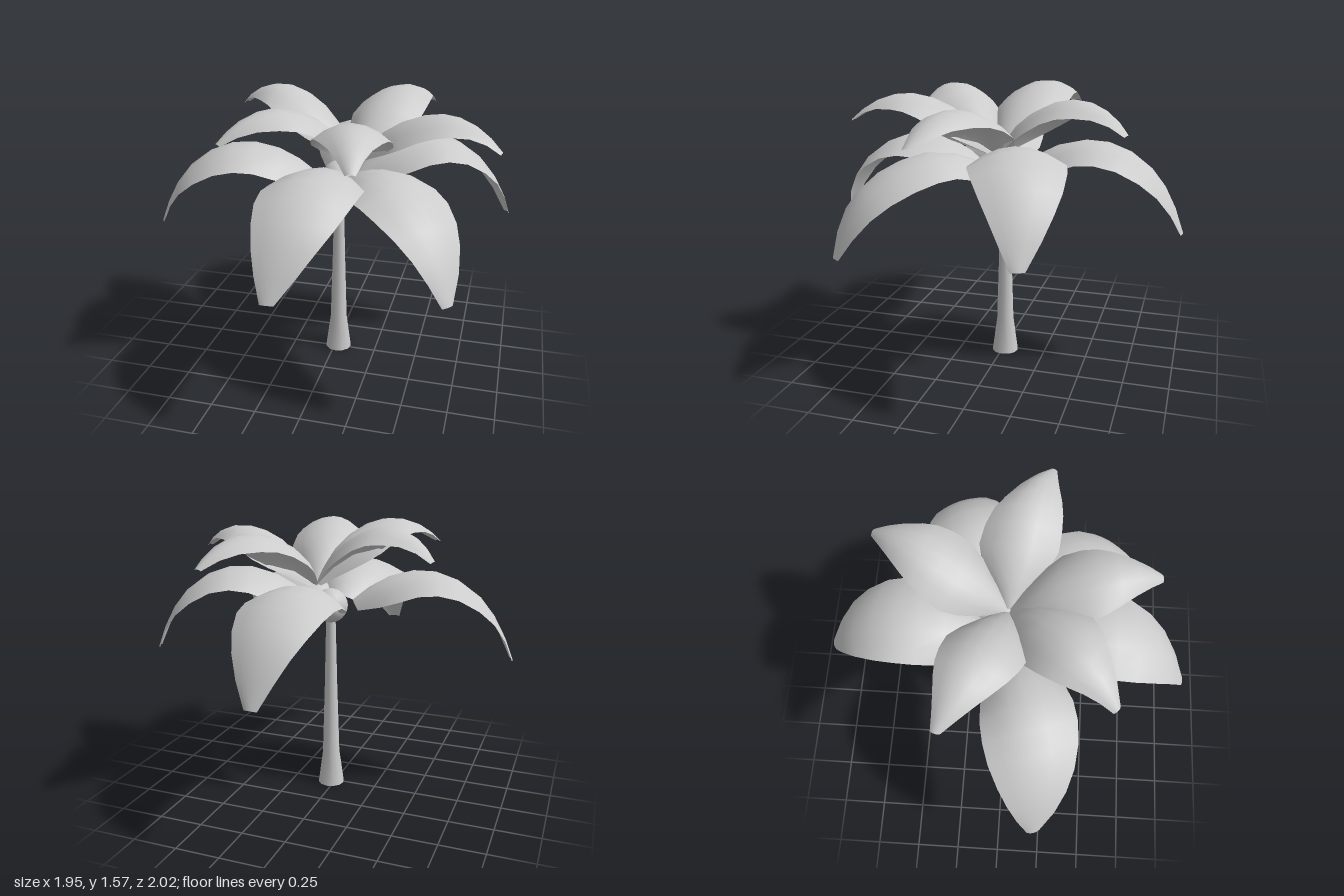
import * as THREE from 'three';

const material = new THREE.MeshStandardMaterial({ color: 0xcccccc, side: THREE.DoubleSide });

// Profile rows: distance from the crown, height, half width, droop of the edges
const LOWER = [
  [0.11, 1.13, 0.1, 0.05], [0.25, 1.235, 0.21, 0.11], [0.45, 1.295, 0.245, 0.095], [0.64, 1.27, 0.245, 0.075],
  [0.82, 1.155, 0.2, 0.05], [0.93, 1.0, 0.13, 0.02], [1.005, 0.82, 0.035, 0.01],
];
const UPPER = [
  [0.01, 1.21, 0.03, 0.01], [0.11, 1.35, 0.15, 0.08], [0.25, 1.46, 0.21, 0.1], [0.42, 1.525, 0.195, 0.085],
  [0.56, 1.525, 0.15, 0.065], [0.7, 1.47, 0.08, 0.03], [0.8, 1.39, 0.025, 0.01],
];

// A leaf is a grid of arched cross-sections set along a curved spine
function leafGeometry(profile, bend) {
  const rows = 9, cols = 6, positions = [], index = [];
  const spine = new THREE.CatmullRomCurve3(profile.map(([r, y]) => new THREE.Vector3(r, y, 0)));
  const shape = new THREE.CatmullRomCurve3(profile.map(([, , w, d]) => new THREE.Vector3(w, d, 0)));
  for (let i = 0; i <= rows; i++) {
    const t = i / rows;
    const p = spine.getPoint(t), tangent = spine.getTangent(t), s = shape.getPoint(t);
    for (let j = 0; j <= cols; j++) {
      const v = (j / cols) * 2 - 1;
      const drop = s.y * v * v;
      positions.push(p.x + tangent.y * drop, p.y - tangent.x * drop, s.x * v + bend * t * t);
      if (i < rows && j < cols) {
        const a = i * (cols + 1) + j, b = a + cols + 1;
        index.push(a, a + 1, b, b, a + 1, b + 1);
      }
    }
  }
  const geometry = new THREE.BufferGeometry();
  geometry.setAttribute('position', new THREE.Float32BufferAttribute(positions, 3));
  geometry.setIndex(index);
  geometry.computeVertexNormals();
  return geometry;
}

// Each leaf: angle in degrees from +x towards +z, change in height, sideways bend of the tip
function leafRing(name, profile, center, leaves) {
  const ring = new THREE.Group();
  ring.name = name;
  ring.position.set(center[0], 0, center[1]);
  leaves.forEach(([angle, lift, bend], i) => {
    const raised = profile.map(([r, y, w, d], k) => [r, y + lift * Math.min(1, k / 3), w, d]);
    const leaf = new THREE.Mesh(leafGeometry(raised, bend), material);
    leaf.name = `${name}Leaf${i + 1}`;
    leaf.rotation.y = -THREE.MathUtils.degToRad(angle);
    ring.add(leaf);
  });
  return ring;
}

export function createModel() {
  const palm = new THREE.Group();
  palm.name = 'palmTree';

  // Trunk flaring at the foot
  const profile = [[0.077, 0], [0.05, 0.2], [0.037, 0.62], [0.026, 1.08]];
  const trunk = new THREE.Mesh(
    new THREE.LatheGeometry(profile.map(([r, y]) => new THREE.Vector2(r, y)), 12), material);
  trunk.name = 'trunk';
  trunk.position.set(0.022, 0, -0.015);

  // Round heart the leaves grow from
  const heart = new THREE.Mesh(new THREE.SphereGeometry(0.097, 16, 12), material);
  heart.name = 'crownHeart';
  heart.position.set(0.022, 1.097, -0.015);

  palm.add(trunk, heart);

  palm.add(leafRing('lower', LOWER, [0.01, -0.005], [
    [-87, 0, -0.02], [-24, 0.035, 0.08], [40, -0.075, 0.07], [87, -0.01, 0.13], [162, 0.005, 0.11],
  ]));
  palm.add(leafRing('upper', UPPER, [0.12, 0], [
    [-72, 0.01, 0.08], [4, -0.02, 0.14], [82, 0.005, -0.04], [131, 0.025, 0.07], [195, 0.04, 0.1],
  ]));
  return palm;
}
